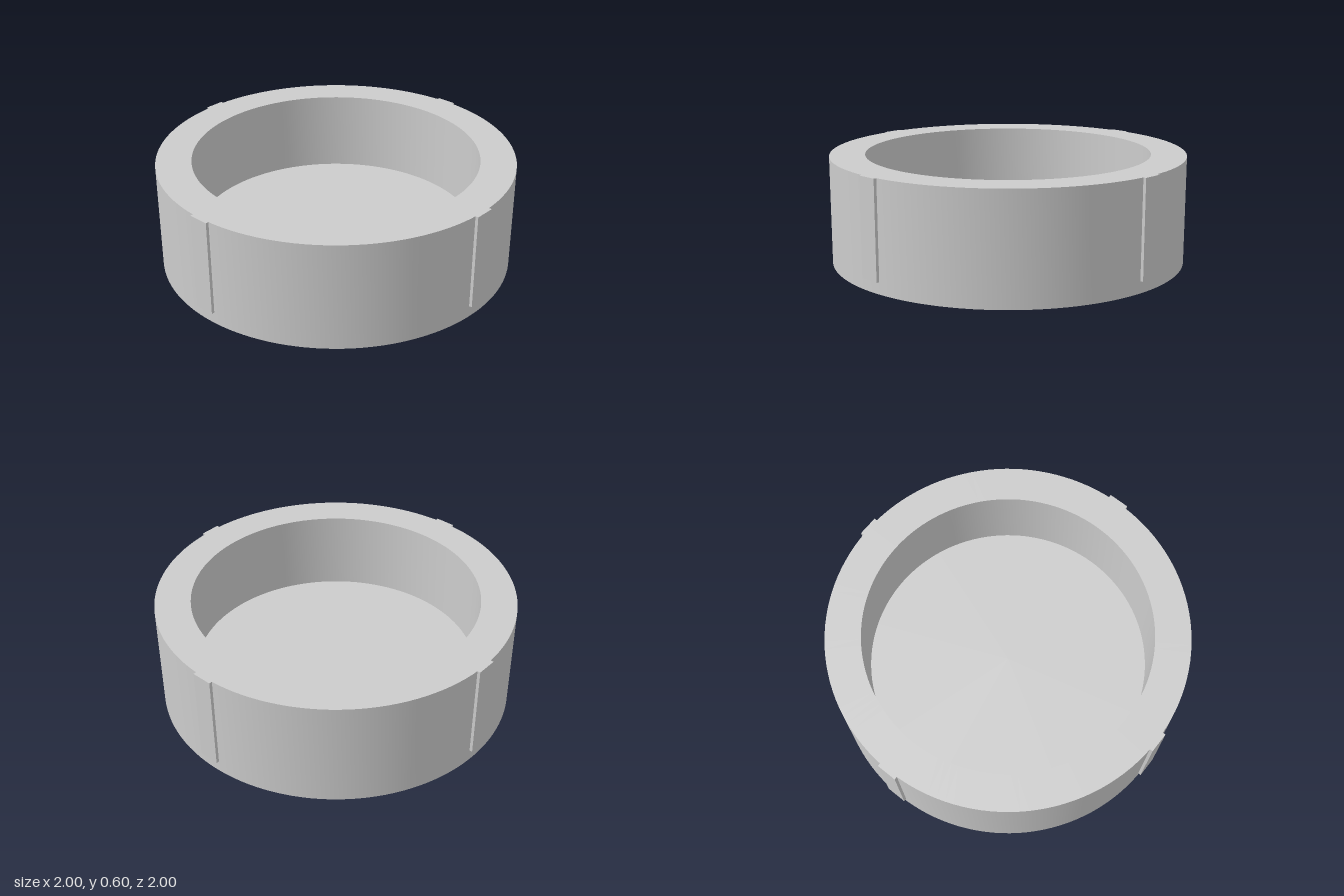
import * as THREE from 'three';
import { toCreasedNormals } from 'three/addons/utils/BufferGeometryUtils.js';

export function createModel() {
  const group = new THREE.Group();
  const grey = new THREE.MeshStandardMaterial({ color: 0xcccccc });
  grey.name = 'plain grey';

  const height = 0.597, outer = 0.985, inner = 0.79, floor = 0.14;

  // Round cup: underside, outer wall, rim, inner wall, floor
  const profile = [
    [0, 0], [outer, 0], [outer, height], [inner, height], [inner, floor], [0, floor],
  ].map(([r, y]) => new THREE.Vector2(r, y));
  const cup = new THREE.Mesh(
    toCreasedNormals(new THREE.LatheGeometry(profile, 128), Math.PI / 6), grey);
  cup.name = 'cup';
  group.add(cup);

  // Four shallow grip ribs, flush with the rim and stopping above the base
  const ribBottom = 0.065, ribDepth = 0.06;
  const ribGeometry = new THREE.BoxGeometry(0.114, height - ribBottom, ribDepth);
  ribGeometry.translate(0, (height + ribBottom) / 2, 1 - ribDepth / 2);
  for (let i = 0; i < 4; i++) {
    const rib = new THREE.Mesh(ribGeometry, grey);
    rib.name = `gripRib${i + 1}`;
    rib.rotation.y = i * Math.PI / 2;
    group.add(rib);
  }
  return group;
}
